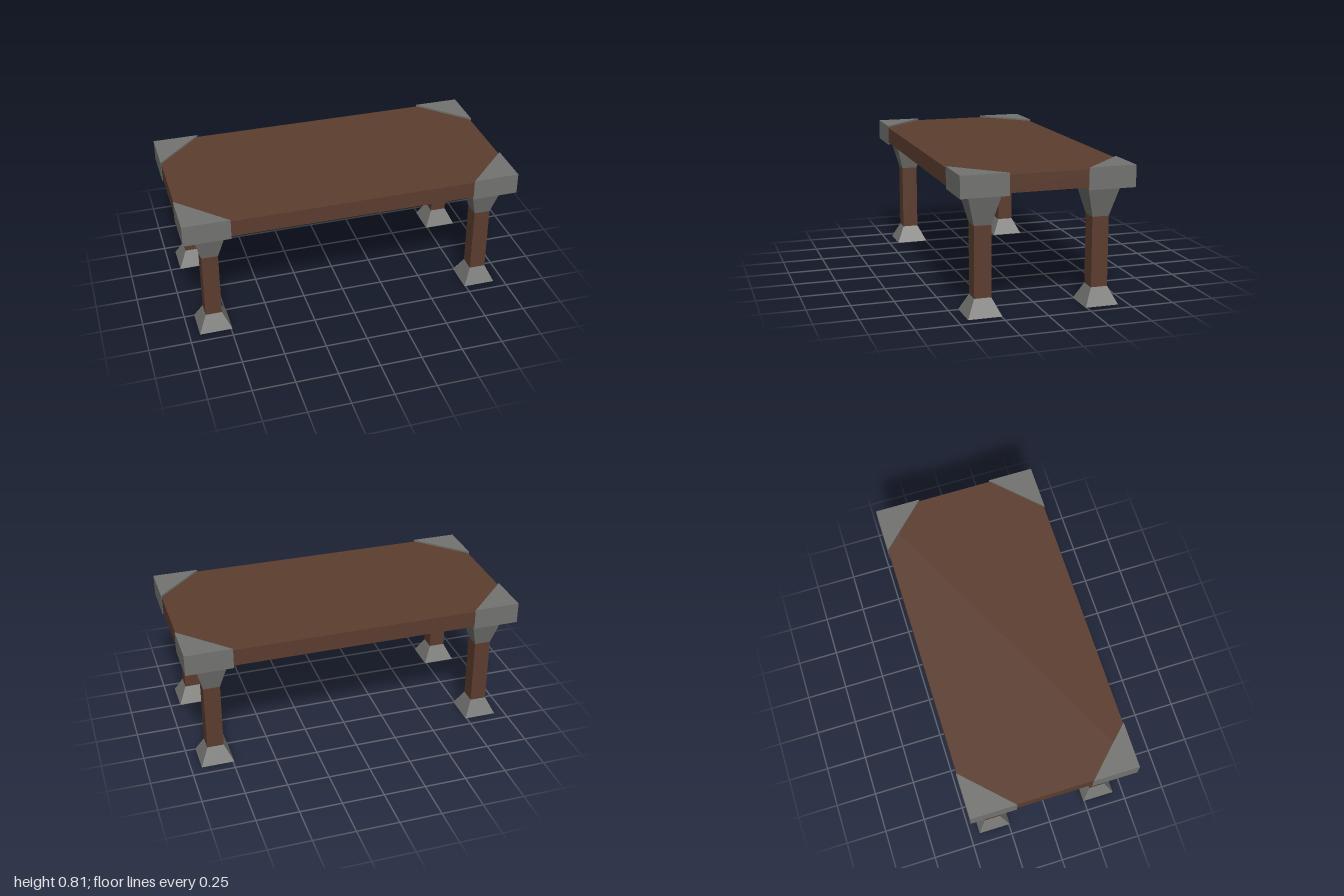
import * as THREE from 'three';

const wood = new THREE.MeshStandardMaterial({ name: 'darkWood', color: 0x5c3d2e });
const metal = new THREE.MeshStandardMaterial({ name: 'greyMetal', color: 0x727370 });

function add(parent, name, geometry, material, x, y, z) {
  const mesh = new THREE.Mesh(geometry, material);
  mesh.name = name;
  mesh.position.set(x, y, z);
  parent.add(mesh);
  return mesh;
}

// Square tapered block standing on y0, given half widths at bottom and top
function taperedBlock(bottom, top, y0, y1) {
  const g = new THREE.BoxGeometry(2, y1 - y0, 2);
  const p = g.attributes.position;
  for (let i = 0; i < p.count; i++) {
    const h = p.getY(i) > 0 ? top : bottom;
    p.setX(i, p.getX(i) * h);
    p.setZ(i, p.getZ(i) * h);
  }
  g.translate(0, (y0 + y1) / 2, 0);
  const flat = g.toNonIndexed();
  flat.computeVertexNormals();
  return flat;
}

// Triangular prism with its right angle at the table corner
function cornerCap(sx, sz) {
  const s = 0.275;
  const corners = [[sx, sz * 0.5], [sx * (1 - s), sz * 0.5], [sx, sz * (0.5 - s)]];
  const shape = new THREE.Shape(corners.map(([x, z]) => new THREE.Vector2(x, -z)));
  const g = new THREE.ExtrudeGeometry(shape, { depth: 0.125, bevelEnabled: false });
  return g.rotateX(-Math.PI / 2);
}

export function createModel() {
  const table = new THREE.Group();
  table.name = 'table';

  add(table, 'tableTop', new THREE.BoxGeometry(1.99, 0.1, 0.994), wood, 0, 0.75, 0);

  const foot = taperedBlock(0.098, 0.049, 0, 0.1);
  const post = new THREE.BoxGeometry(0.098, 0.408, 0.098);
  const bracket = taperedBlock(0.049, 0.1, 0.508, 0.7);

  for (const sx of [-1, 1]) {
    for (const sz of [-1, 1]) {
      const side = (sz > 0 ? 'front' : 'back') + (sx > 0 ? 'Left' : 'Right');
      const leg = new THREE.Group();
      leg.name = side + 'Leg';
      leg.position.set(sx * 0.84, 0, sz * 0.343);
      add(leg, 'foot', foot, metal, 0, 0, 0);
      add(leg, 'post', post, wood, 0, 0.304, 0);
      add(leg, 'legBracket', bracket, metal, 0, 0, 0);
      table.add(leg);
      add(table, side + 'CornerCap', cornerCap(sx, sz), metal, 0, 0.686, 0);
    }
  }
  return table;
}
